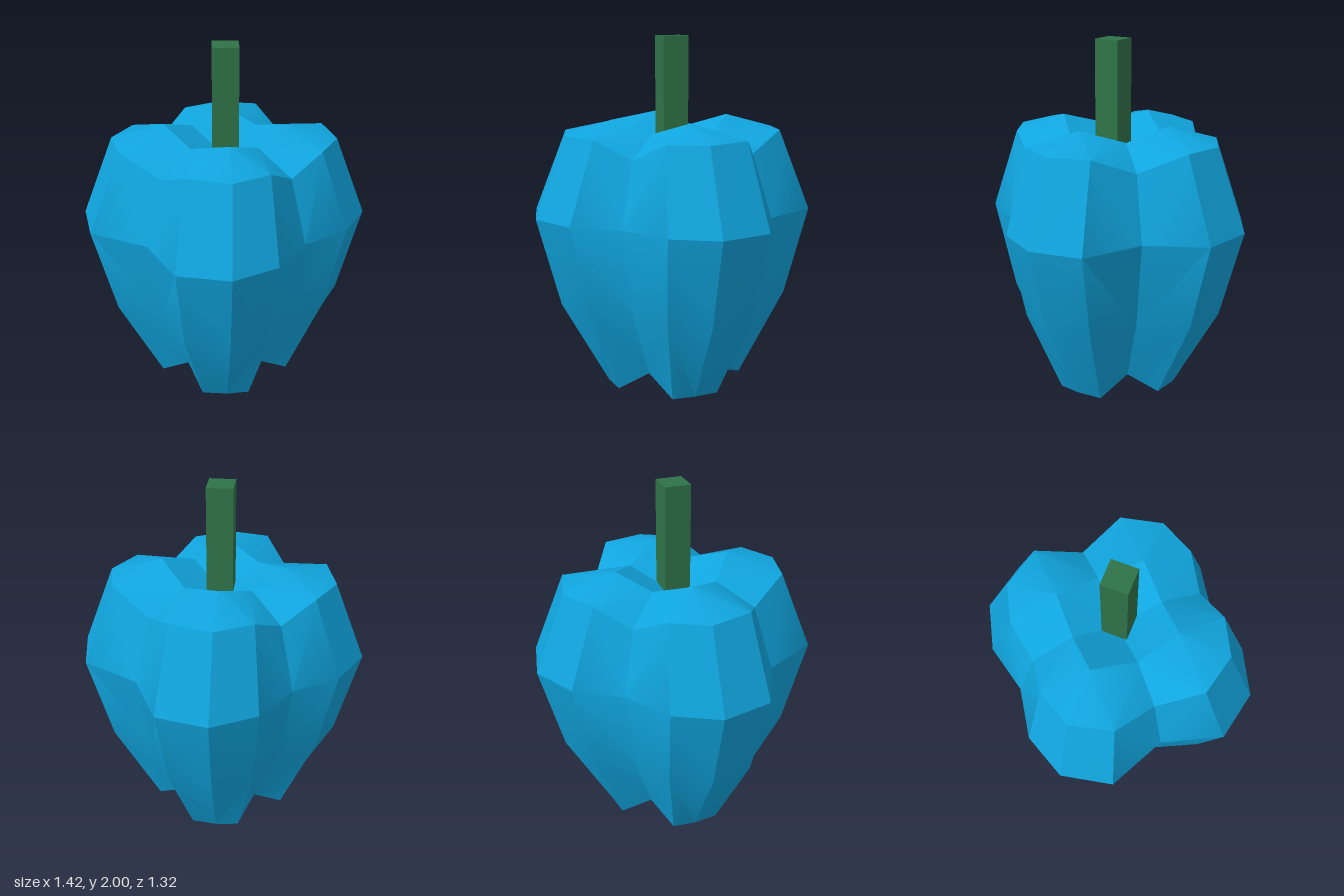
import * as THREE from 'three';
import { toCreasedNormals } from 'three/addons/utils/BufferGeometryUtils.js';

// Each layer gives one quadrant; grid keys |i||j| are mirrored into four lobes.
const layers = [
  { 22: [0.275, 0.02, 0.285], 21: [0.36, 0.015, 0.17], 12: [0.17, 0.015, 0.36], 20: [0.31, 0.12, 0], '02': [0, 0.12, 0.31],
    11: [0.165, 0, 0.155], 10: [0.15, 0.12, 0], '01': [0, 0.12, 0.15], '00': [0, 0.13, 0] },
  { 22: [0.46, 0.52, 0.485], 21: [0.595, 0.52, 0.275], 12: [0.235, 0.52, 0.56], 20: [0.5, 0.52, 0], '02': [0, 0.52, 0.5] },
  { 22: [0.55, 1.02, 0.58], 21: [0.71, 1.02, 0.335], 12: [0.285, 1.02, 0.66], 20: [0.6, 1.02, 0], '02': [0, 1.02, 0.6] },
  { 22: [0.425, 1.47, 0.46], 21: [0.55, 1.475, 0.255], 12: [0.21, 1.47, 0.525], 20: [0.485, 1.37, 0], '02': [0, 1.37, 0.49],
    11: [0.225, 1.55, 0.25], 10: [0.26, 1.48, 0], '01': [0, 1.48, 0.255], '00': [0, 1.37, 0] },
];

function point(layer, i, j) {
  const [x, y, z] = layers[layer][`${Math.abs(i)}${Math.abs(j)}`];
  return [x * Math.sign(i), y, z * Math.sign(j)];
}

function bodyGeometry() {
  const pos = [];
  const tri = (...p) => p.forEach((q) => pos.push(...q));
  const quad = (a, b, c, d, flip) => {
    if (flip) { tri(a, b, d); tri(b, c, d); } else { tri(a, b, c); tri(a, c, d); }
  };

  // Lobed side wall, walked around the border of the grid
  const border = [];
  for (let k = -2; k < 2; k++) border.push([k, 2]);
  for (let k = 2; k > -2; k--) border.push([2, k]);
  for (let k = 2; k > -2; k--) border.push([k, -2]);
  for (let k = -2; k < 2; k++) border.push([-2, k]);
  for (let l = 0; l < layers.length - 1; l++) {
    border.forEach((p, k) => {
      const q = border[(k + 1) % border.length];
      quad(point(l, ...p), point(l, ...q), point(l + 1, ...q), point(l + 1, ...p), k % 2 === 1);
    });
  }

  // Dimpled top and bottom caps, split along the lobe diagonals
  const top = layers.length - 1;
  for (let i = -2; i < 2; i++) {
    for (let j = -2; j < 2; j++) {
      const flip = (i >= 0) === (j >= 0);
      const corners = (l) => [point(l, i, j + 1), point(l, i + 1, j + 1), point(l, i + 1, j), point(l, i, j)];
      quad(...corners(top), flip);
      const [a, b, c, d] = corners(0);
      quad(d, c, b, a, !flip ? true : false);
    }
  }

  const geo = new THREE.BufferGeometry();
  geo.setAttribute('position', new THREE.Float32BufferAttribute(pos, 3));
  return toCreasedNormals(geo, 0.45);
}

export function createModel() {
  const group = new THREE.Group();
  group.name = 'pepper';

  const skin = new THREE.MeshStandardMaterial({ color: 0x10a5de });
  skin.name = 'blue skin';
  const green = new THREE.MeshStandardMaterial({ color: 0x2f7348 });
  green.name = 'stem green';

  const body = new THREE.Mesh(bodyGeometry(), skin);
  body.name = 'body';
  group.add(body);

  // Square stem turned corner-forward, sunk into the top dimple
  const stemGeo = toCreasedNormals(new THREE.CylinderGeometry(0.102, 0.102, 0.68, 4), 0.45);
  const stem = new THREE.Mesh(stemGeo, green);
  stem.name = 'stem';
  stem.position.set(0, 1.66, 0.01);
  group.add(stem);

  return group;
}
